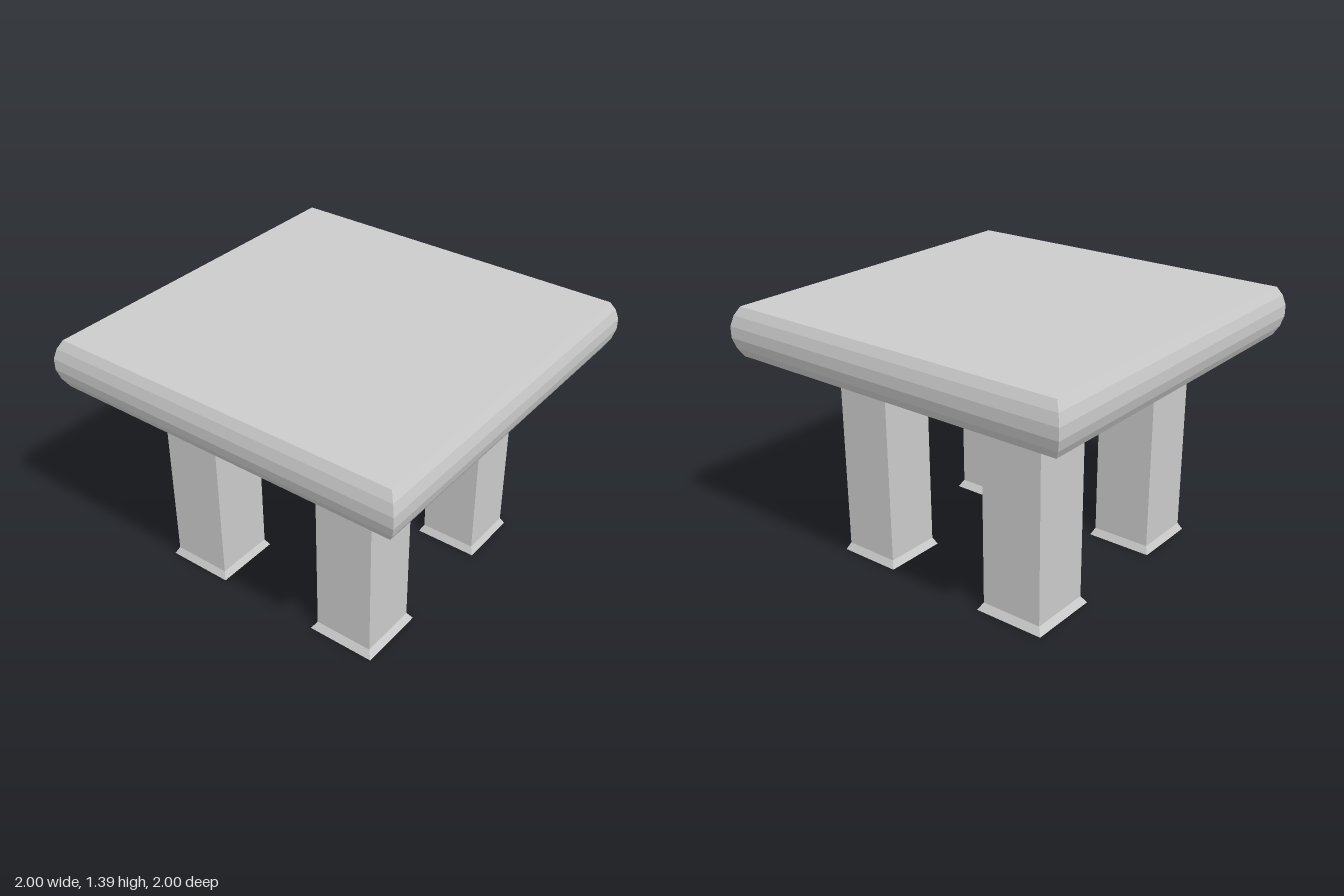
import * as THREE from 'three';

const material = new THREE.MeshStandardMaterial({ color: 0xcccccc, flatShading: true });

// Closed solid of stacked square rings; profile lists [half width, y] from bottom to top
function squareSolid(name, profile) {
  const points = [[0, profile[0][1]], ...profile, [0, profile[profile.length - 1][1]]]
    .map(([half, y]) => new THREE.Vector2(half * Math.SQRT2, y));
  const lathe = new THREE.LatheGeometry(points, 4, Math.PI / 4);
  const geometry = lathe.toNonIndexed();
  geometry.computeVertexNormals();
  const mesh = new THREE.Mesh(geometry, material);
  mesh.name = name;
  return mesh;
}

export function createModel() {
  const table = new THREE.Group();
  table.name = 'table';

  // Thick square top with a faceted bullnose edge
  table.add(squareSolid('tableTop', [
    [0.96, 1.135], [0.985, 1.18], [0.998, 1.235],
    [0.998, 1.295], [0.985, 1.35], [0.96, 1.395],
  ].map(([half, y]) => [half === 0.998 ? 1 : half, y])));

  // Square legs with small flared feet, each slightly different in size
  const legs = [
    { name: 'frontLeftLeg', x: 0.48, z: 0.482, width: 0.325, flare: 0.025 },
    { name: 'frontRightLeg', x: -0.48, z: 0.482, width: 0.33, flare: 0.02 },
    { name: 'backLeftLeg', x: 0.48, z: -0.478, width: 0.31, flare: 0.02 },
    { name: 'backRightLeg', x: -0.48, z: -0.478, width: 0.342, flare: 0.024 },
  ];
  for (const { name, x, z, width, flare } of legs) {
    const half = width / 2;
    const leg = squareSolid(name, [[half + flare, 0], [half, 0.04], [half, 1.135]]);
    leg.position.set(x, 0, z);
    table.add(leg);
  }
  return table;
}
